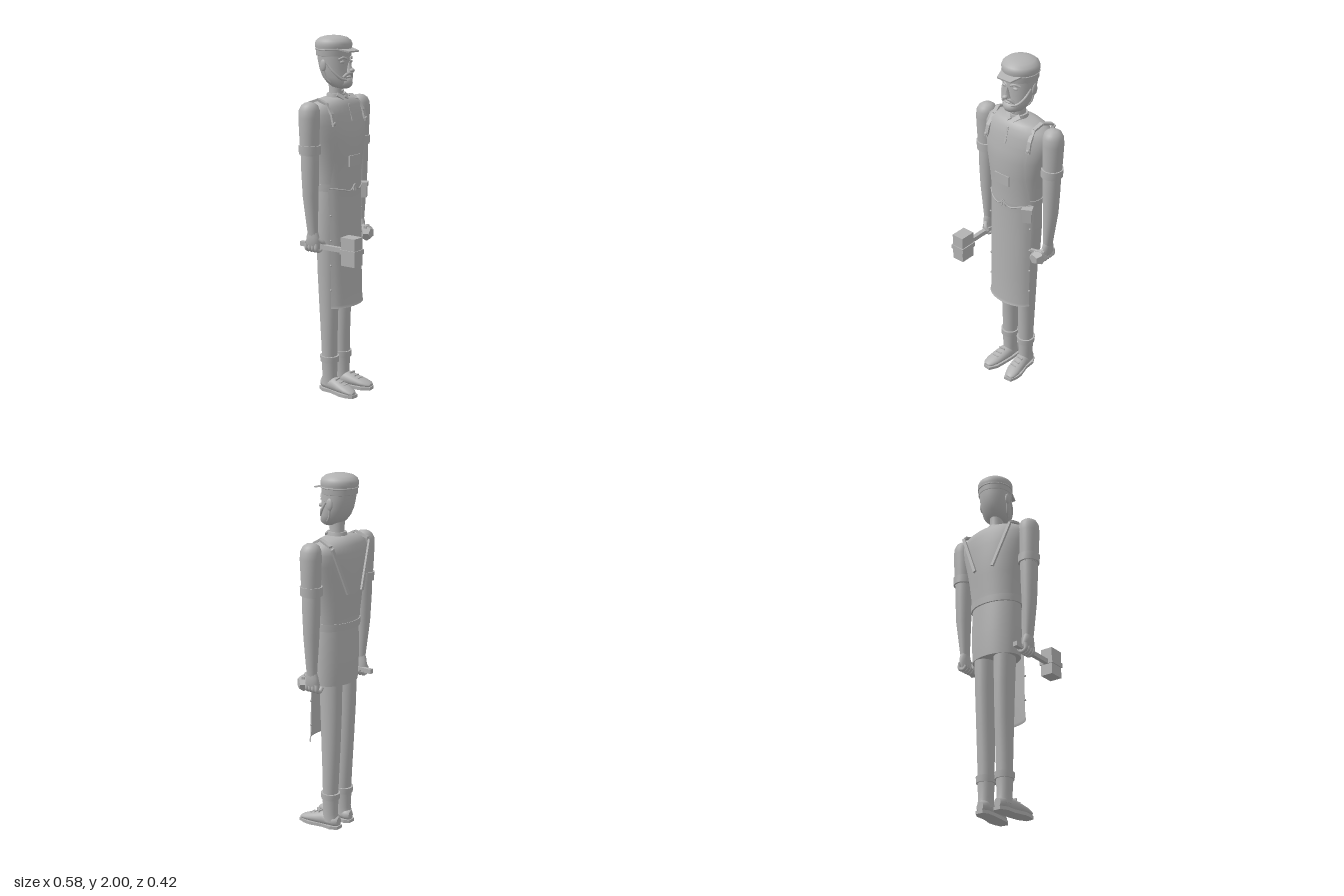
import * as THREE from 'three';

const grey = new THREE.MeshStandardMaterial({ color: 0xb2b2b2, side: THREE.DoubleSide });
grey.name = 'plain grey';
const V = (x, y, z) => new THREE.Vector3(x, y, z);

function gridGeometry(pos, index) {
  const g = new THREE.BufferGeometry();
  g.setAttribute('position', new THREE.Float32BufferAttribute(pos, 3));
  g.setIndex(index);
  g.computeVertexNormals();
  return g;
}

// Closed elliptical loft; each row is [y, cx, cz, rx, rz]
function loft(rows, n = 28) {
  const pos = [], idx = [];
  const ring = ([y, cx, cz, rx, rz]) => {
    for (let j = 0; j < n; j++) {
      const a = (j / n) * Math.PI * 2;
      pos.push(cx + rx * Math.cos(a), y, cz + rz * Math.sin(a));
    }
  };
  rows.forEach(ring);
  for (let i = 0; i < rows.length - 1; i++) for (let j = 0; j < n; j++) {
    const a = i * n + j, b = i * n + (j + 1) % n;
    idx.push(a, a + n, b, b, a + n, b + n);
  }
  [rows[0], rows[rows.length - 1]].forEach((r, k) => {
    const base = pos.length / 3;
    ring(r);
    pos.push(r[1], r[0], r[2]);
    for (let j = 0; j < n; j++) {
      const p = base + j, q = base + (j + 1) % n;
      idx.push(base + n, k ? q : p, k ? p : q);
    }
  });
  return gridGeometry(pos, idx);
}

// Front sheet draped on ellipses; each row is [y, halfWidth, cz, rx, rz]
function drape(rows, n = 20) {
  const pos = [], idx = [];
  rows.forEach(([y, w, cz, rx, rz], i) => {
    for (let j = 0; j <= n; j++) {
      const x = w * (j / n * 2 - 1);
      pos.push(x, y, cz + rz * Math.sqrt(Math.max(0, 1 - (x / rx) ** 2)));
      if (i && j) {
        const d = i * (n + 1) + j, c = d - 1, b = d - n - 1, a = b - 1;
        idx.push(a, c, b, b, c, d);
      }
    }
  });
  return gridGeometry(pos, idx);
}

export function createModel() {
  const root = new THREE.Group();
  root.name = 'aproned craftsman';
  const add = (name, geo, x = 0, y = 0, z = 0) => {
    const m = new THREE.Mesh(geo, grey);
    m.name = name;
    m.position.set(x, y, z);
    root.add(m);
    return m;
  };
  const box = (name, w, h, d, x, y, z) => add(name, new THREE.BoxGeometry(w, h, d), x, y, z);
  const ball = (name, r, x, y, z, sx = 1, sy = 1, sz = 1) => {
    const m = add(name, new THREE.SphereGeometry(r, 18, 12), x, y, z);
    m.scale.set(sx, sy, sz);
    return m;
  };
  const bar = (name, a, b, w, t, up) => {
    const m = box(name, w, t, a.distanceTo(b), 0, 0, 0);
    m.position.copy(a).add(b).multiplyScalar(0.5);
    m.up.copy(up);
    m.lookAt(b);
    return m;
  };
  const tube = (name, r, ...pts) => add(name, new THREE.TubeGeometry(new THREE.CatmullRomCurve3(pts), 16, r, 8));

  // Torso, tunic skirt and belt
  add('torso', loft([[1.17, 0, -0.08, 0.152, 0.102], [1.25, 0, -0.08, 0.157, 0.105], [1.35, 0, -0.08, 0.17, 0.115],
    [1.45, 0, -0.08, 0.192, 0.12], [1.53, 0, -0.084, 0.212, 0.115], [1.59, 0, -0.09, 0.214, 0.108],
    [1.63, 0, -0.092, 0.195, 0.098], [1.655, 0, -0.09, 0.15, 0.078], [1.668, 0, -0.088, 0.09, 0.06],
    [1.672, 0, -0.086, 0.05, 0.045]], 40));
  add('tunicSkirt', loft([[0.86, 0, -0.078, 0.146, 0.098], [1.0, 0, -0.078, 0.152, 0.104],
    [1.19, 0, -0.078, 0.15, 0.1]], 40));
  add('belt', loft([[1.17, 0, -0.08, 0.157, 0.107], [1.21, 0, -0.08, 0.159, 0.108]], 40));

  // Apron with bib, pocket and straps
  add('bib', drape([[1.18, 0.14, -0.08, 0.16, 0.119], [1.26, 0.135, -0.08, 0.164, 0.12], [1.35, 0.128, -0.08, 0.176, 0.127],
    [1.45, 0.132, -0.08, 0.2, 0.131], [1.51, 0.14, -0.082, 0.215, 0.125], [1.545, 0.143, -0.084, 0.22, 0.121]]));
  add('apronSkirt', drape([[0.515, 0.146, -0.05, 0.156, 0.106], [0.53, 0.142, -0.05, 0.153, 0.099],
    [0.7, 0.14, -0.055, 0.152, 0.1], [0.95, 0.142, -0.062, 0.155, 0.102], [1.13, 0.146, -0.068, 0.159, 0.106],
    [1.19, 0.147, -0.074, 0.16, 0.116]]));
  box('apronPocket', 0.1, 0.06, 0.009, -0.005, 1.333, 0.047);
  box('beltPouch', 0.05, 0.075, 0.04, 0.138, 1.14, 0.005).rotation.y = 0.5;
  box('pouchFlap', 0.06, 0.025, 0.048, 0.138, 1.175, 0.005).rotation.y = 0.5;
  for (const s of [-1, 1]) {
    tube('apronSeam', 0.004, V(0, 1.2, 0.044), V(s * 0.035, 1.17, 0.042), V(s * 0.09, 1.18, 0.024), V(s * 0.145, 1.19, -0.022));
    bar('apronTie', V(s * 0.002, 1.2, 0.044), V(s * 0.012, 1.165, 0.046), 0.01, 0.005, V(0, 0, 1));
    const path = [V(s * 0.145, 1.53, 0.014), V(s * 0.142, 1.59, -0.002), V(s * 0.138, 1.645, -0.042),
      V(s * 0.15, 1.668, -0.09), V(s * 0.162, 1.64, -0.165)];
    for (let i = 1; i < path.length; i++) bar('shoulderStrap', path[i - 1], path[i], 0.022, 0.012, V(0, 1, 0.6));
    bar('backStrap', V(s * 0.163, 1.63, -0.176), V(s * 0.06, 1.375, -0.203), 0.018, 0.012, V(0, 0, -1));
    ball('strapButton', 0.01, s * 0.145, 1.545, 0.018, 1, 1, 0.6);
    for (const y of [0.62, 0.76, 0.9, 1.04]) ball('apronStud', 0.006, s * 0.142, y, -0.014);
  }
  for (const y of [1.585, 1.63]) ball('shirtButton', 0.007, 0, y, y < 1.6 ? 0.018 : 0.005, 1, 1, 0.6);
  bar('shirtPlacket', V(0, 1.548, 0.03), V(0, 1.635, 0.004), 0.012, 0.005, V(0, 0, 1));

  // Neck and collar
  add('neck', loft([[1.65, 0, -0.083, 0.043, 0.045], [1.7, 0, -0.08, 0.037, 0.041], [1.76, 0, -0.08, 0.04, 0.044]]));
  add('collar', loft([[1.66, 0, -0.083, 0.056, 0.055], [1.69, 0, -0.081, 0.05, 0.05]]));
  for (const s of [-1, 1]) bar('collarPoint', V(s * 0.04, 1.688, -0.045), V(s * 0.01, 1.665, -0.02), 0.025, 0.008, V(0, 0.5, 1));
  ball('throatButton', 0.009, 0, 1.705, -0.038);

  // Head and face
  add('head', loft([[1.72, 0, -0.04, 0.028, 0.03], [1.728, 0, -0.047, 0.048, 0.05], [1.75, 0, -0.058, 0.068, 0.07],
    [1.78, 0, -0.074, 0.081, 0.078], [1.82, 0, -0.085, 0.088, 0.085], [1.87, 0, -0.092, 0.092, 0.09],
    [1.93, 0, -0.095, 0.092, 0.091]], 32));
  const nose = add('nose', new THREE.ConeGeometry(0.024, 0.06, 4), 0, 1.838, 0.008);
  nose.scale.set(0.75, 1, 1.3);
  ball('noseTip', 0.014, 0, 1.818, 0.026, 1, 0.8, 1);
  ball('chinBeard', 0.04, 0, 1.75, -0.016, 1.1, 0.8, 0.85);
  ball('lowerLip', 0.016, 0, 1.782, 0.005, 1.2, 0.35, 0.6);
  for (const s of [-1, 1]) {
    ball('eye', 0.014, s * 0.036, 1.862, -0.012, 1.2, 0.6, 0.7);
    tube('brow', 0.006, V(s * 0.014, 1.878, 0.002), V(s * 0.036, 1.886, -0.006), V(s * 0.06, 1.876, -0.022));
    tube('moustache', 0.008, V(0, 1.804, 0.012), V(s * 0.02, 1.799, 0.008), V(s * 0.04, 1.78, -0.006));
    tube('beardEdge', 0.007, V(s * 0.088, 1.855, -0.075), V(s * 0.077, 1.81, -0.04), V(s * 0.05, 1.775, -0.012), V(s * 0.02, 1.765, 0.004));
    tube('jawEdge', 0.006, V(s * 0.086, 1.82, -0.1), V(s * 0.076, 1.77, -0.085), V(s * 0.04, 1.73, -0.03));
    ball('ear', 0.028, s * 0.09, 1.845, -0.1, 0.35, 1.15, 0.7);
  }

  // Flat cap
  const profile = [[0.092, 1.892], [0.096, 1.895], [0.096, 1.925], [0.1, 1.94], [0.101, 1.957], [0.095, 1.973],
    [0.075, 1.989], [0.045, 1.997], [0.02, 2], [0, 2]].map(([r, y]) => new THREE.Vector2(r, y));
  add('cap', new THREE.LatheGeometry(profile, 40), 0, 0, -0.097);
  const band = add('capBand', new THREE.TorusGeometry(0.097, 0.004, 8, 40), 0, 1.927, -0.097);
  band.rotation.x = Math.PI / 2;
  const peak = new THREE.Shape([[-0.08, -0.055], [-0.062, -0.01], [-0.045, 0.04], [0.045, 0.04], [0.062, -0.01], [0.08, -0.055]]
    .map(p => new THREE.Vector2(...p)));
  const visor = add('capVisor', new THREE.ExtrudeGeometry(peak, { depth: 0.008, bevelEnabled: false }), 0, 1.93, 0);
  visor.rotation.x = Math.PI / 2 + 0.2;

  for (const s of [-1, 1]) {
    // Arms with rolled sleeves
    add('upperArm', loft([[1.38, s * 0.228, -0.088, 0.05, 0.05], [1.48, s * 0.23, -0.088, 0.054, 0.054],
      [1.58, s * 0.231, -0.088, 0.057, 0.058], [1.62, s * 0.23, -0.088, 0.055, 0.056], [1.645, s * 0.228, -0.088, 0.044, 0.045],
      [1.658, s * 0.227, -0.088, 0.026, 0.027], [1.662, s * 0.227, -0.088, 0.005, 0.005]]));
    add('sleeveCuff', loft([[1.385, s * 0.226, -0.088, 0.059, 0.06], [1.432, s * 0.228, -0.088, 0.06, 0.06]]));
    add('forearm', loft([[0.93, s * 0.215, -0.08, 0.022, 0.03], [1.0, s * 0.219, -0.082, 0.028, 0.034],
      [1.15, s * 0.226, -0.086, 0.041, 0.043], [1.3, s * 0.227, -0.087, 0.047, 0.049], [1.39, s * 0.227, -0.088, 0.048, 0.05]]));
    // Hands with curled fingers
    add('palm', loft([[0.86, s * 0.205, -0.08, 0.02, 0.038], [0.89, s * 0.212, -0.082, 0.026, 0.046],
      [0.93, s * 0.215, -0.08, 0.024, 0.04], [0.96, s * 0.216, -0.08, 0.022, 0.03]], 12));
    for (let i = 0; i < 4; i++) {
      const z = -0.118 + i * 0.022;
      tube('finger', 0.011, V(s * 0.222, 0.895, z), V(s * 0.222, 0.86, z), V(s * 0.195, 0.85, z), V(s * 0.175, 0.868, z));
    }
    tube('thumb', 0.012, V(s * 0.212, 0.92, -0.05), V(s * 0.195, 0.9, -0.03), V(s * 0.18, 0.88, -0.03));

    // Trouser legs
    add('leg', loft([[0.19, s * 0.06, -0.086, 0.044, 0.043], [0.3, s * 0.06, -0.088, 0.046, 0.046],
      [0.5, s * 0.061, -0.09, 0.049, 0.056], [0.7, s * 0.063, -0.092, 0.053, 0.063], [0.95, s * 0.066, -0.09, 0.058, 0.07]]));
    add('bootCuff', loft([[0.175, s * 0.06, -0.086, 0.051, 0.053], [0.21, s * 0.06, -0.087, 0.053, 0.055]]));
    add('bootShaft', loft([[0.04, s * 0.06, -0.088, 0.042, 0.052], [0.09, s * 0.06, -0.086, 0.039, 0.043],
      [0.18, s * 0.06, -0.086, 0.045, 0.046]]));
    // Boot foot and sole, toes turned out
    add('bootFoot', loft([[-0.142, s * 0.055, -0.04, 0.02, 0.026], [-0.12, s * 0.057, -0.045, 0.038, 0.034],
      [-0.05, s * 0.062, -0.046, 0.041, 0.042], [0, s * 0.07, -0.04, 0.043, 0.032], [0.05, s * 0.077, -0.034, 0.042, 0.023],
      [0.085, s * 0.083, -0.028, 0.032, 0.015], [0.1, s * 0.085, -0.024, 0.018, 0.008]], 20).rotateX(Math.PI / 2));
    const sole = new THREE.Shape([[0.035, -0.148], [0.078, -0.148], [0.1, -0.11], [0.1, -0.05], [0.119, 0.02],
      [0.118, 0.06], [0.106, 0.103], [0.06, 0.108], [0.034, 0.06], [0.025, 0], [0.018, -0.07], [0.018, -0.12]]
      .map(([x, z]) => new THREE.Vector2(s * x, z)));
    add('bootSole', new THREE.ExtrudeGeometry(sole, { depth: 0.018, bevelEnabled: false }).rotateX(Math.PI / 2), 0, 0.018, 0);
    for (const [z, y] of [[-0.025, 0.085], [0.005, 0.072], [0.032, 0.062]])
      bar('lace', V(s * 0.052, y - 0.004, z), V(s * 0.088, y - 0.004, z + 0.004), 0.008, 0.012, V(0, 1, 0));
  }

  // Hammer in the right hand
  box('hammerHandle', 0.024, 0.026, 0.3, -0.194, 0.876, -0.026);
  box('hammerHead', 0.072, 0.155, 0.09, -0.193, 0.878, 0.162);
  box('hammerBand', 0.084, 0.026, 0.1, -0.193, 0.876, 0.162);

  // Faceted object held in front of the left hand
  const lump = add('heldLump', new THREE.DodecahedronGeometry(0.046), 0.2, 0.882, -0.015);
  lump.rotation.y = 0.5;
  lump.scale.set(1.05, 1.05, 0.9);
  bar('heldStem', V(0.16, 0.92, 0), V(0.23, 0.915, -0.03), 0.018, 0.014, V(0, 1, 0));
  return root;
}
